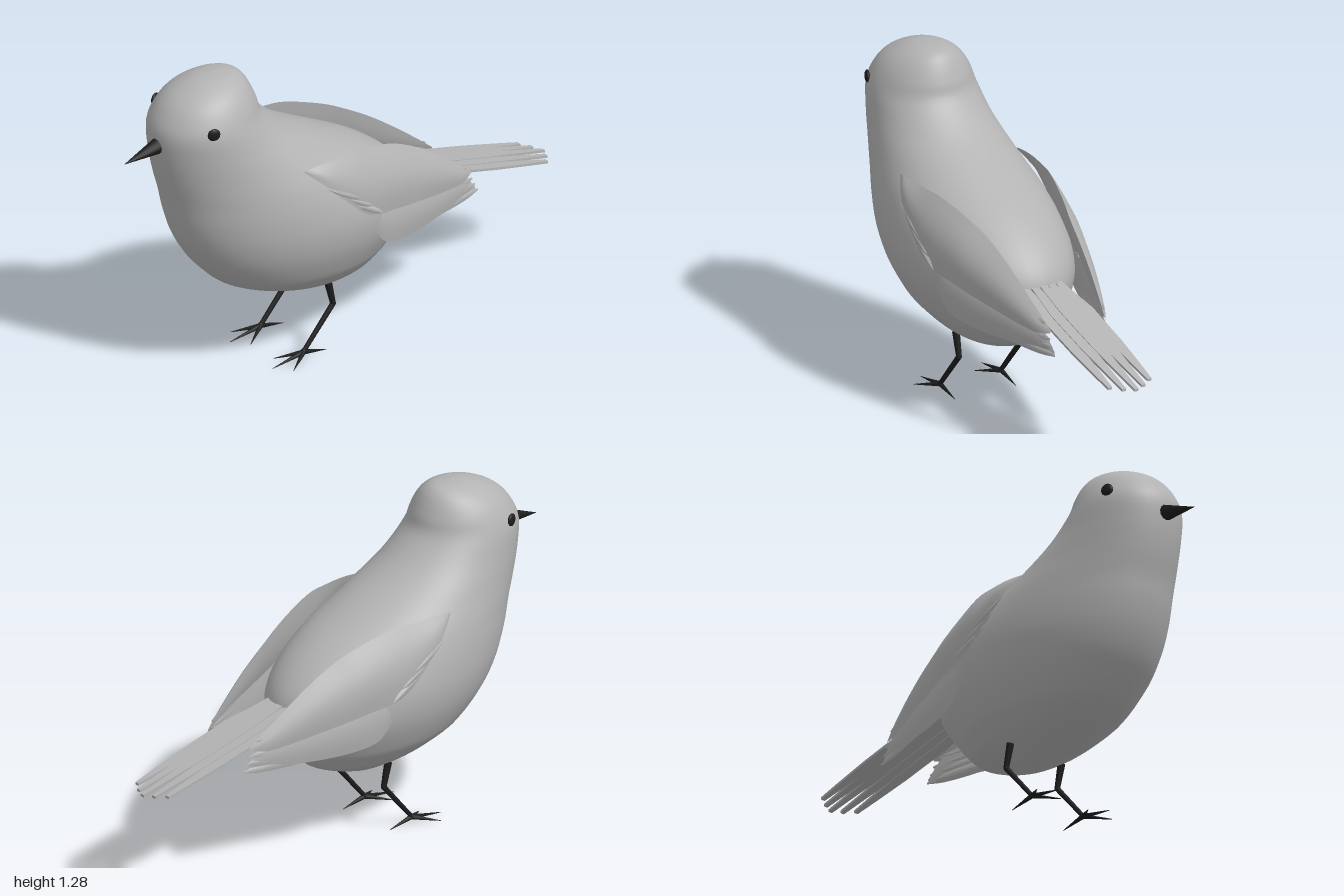
import * as THREE from 'three';
import { toCreasedNormals } from 'three/addons/utils/BufferGeometryUtils.js';

const plumage = new THREE.MeshStandardMaterial({ color: 0xb3b3b3 });
plumage.name = 'grey plumage';
const dark = new THREE.MeshStandardMaterial({ color: 0x1c1c1c });
dark.name = 'dark horn';

// Skin a list of closed rings of [x, y, z] points
function loft(rings, flip = false) {
  const n = rings[0].length, index = [];
  for (let i = 0; i < rings.length - 1; i++) {
    for (let j = 0; j < n; j++) {
      const k = (j + 1) % n;
      const a = i * n + j, b = i * n + k, c = a + n, d = b + n;
      if (flip) index.push(a, b, c, b, d, c);
      else index.push(a, c, b, b, c, d);
    }
  }
  const geo = new THREE.BufferGeometry();
  geo.setAttribute('position', new THREE.Float32BufferAttribute(rings.flat(2), 3));
  geo.setIndex(index);
  geo.computeVertexNormals();
  return geo;
}

function add(parent, name, geo, material) {
  const mesh = new THREE.Mesh(geo, material);
  mesh.name = name;
  parent.add(mesh);
  return mesh;
}

// Smooth curve through rows, evenly spaced by row so parallel curves stay in step
const spline = (rows) =>
  new THREE.CatmullRomCurve3(rows.map((r) => new THREE.Vector3(...r)), false, 'catmullrom', 0.5);

// Body and head: level ellipses given as [y, front z, back z, half width]
function bodyGeometry() {
  const rows = [
    [0.222, 0.1, 0.1, 0.001], [0.25, 0.22, 0.0, 0.075], [0.3, 0.38, -0.137, 0.16],
    [0.35, 0.5, -0.195, 0.212], [0.4, 0.575, -0.235, 0.25], [0.5, 0.667, -0.3, 0.295],
    [0.6, 0.727, -0.305, 0.313], [0.7, 0.765, -0.24, 0.307], [0.8, 0.79, -0.11, 0.285],
    [0.9, 0.82, 0.08, 0.252], [1.0, 0.84, 0.265, 0.225], [1.1, 0.845, 0.383, 0.205],
    [1.17, 0.815, 0.412, 0.18], [1.22, 0.77, 0.434, 0.148], [1.255, 0.71, 0.457, 0.107],
    [1.277, 0.645, 0.492, 0.058], [1.285, 0.57, 0.57, 0.001],
  ];
  const front = spline(rows.map((r) => [r[1], r[0], r[3]]));
  const back = spline(rows.map((r) => [r[2], r[0], 0]));
  const rings = [], steps = 80, sides = 48;
  for (let i = 0; i <= steps; i++) {
    const f = front.getPoint(i / steps), b = back.getPoint(i / steps);
    const mid = (f.x + b.x) / 2, half = (f.x - b.x) / 2, w = Math.max(f.z, 0.0005);
    rings.push(Array.from({ length: sides }, (_, j) => {
      const t = (j / sides) * Math.PI * 2;
      return [w * Math.cos(t), f.y, mid + half * Math.sin(t)];
    }));
  }
  return loft(rings);
}

// Lens-section panel, front to back: [z, lower y, lower x, upper y, upper x, bulge]
function panel(rows, s, inner = 0.4, steps = 36) {
  const low = spline(rows.map((r) => [r[2], r[1], r[0]]));
  const high = spline(rows.map((r) => [r[4], r[3], r[5]]));
  const rings = [], n = 8;
  for (let i = 0; i <= steps; i++) {
    const a = low.getPoint(i / steps), b = high.getPoint(i / steps);
    const dx = b.x - a.x, dy = b.y - a.y, len = Math.hypot(dx, dy) || 1;
    const ring = [];
    for (let j = 0; j < 2 * n; j++) {
      const t = j <= n ? j / n : 2 - j / n;
      const h = Math.max(b.z, 0) * Math.sin(Math.PI * t) * (j <= n ? 1 : -inner);
      ring.push([s * (a.x + dx * t + (dy / len) * h), a.y + dy * t - (dx / len) * h, a.z]);
    }
    rings.push(ring);
  }
  return toCreasedNormals(loft(rings, s < 0), 0.9);
}

// Slim feather between two [x, y, z] points
function feather(p, q, width, s) {
  const rows = [[0, 0.05], [0.3, 0.8], [0.6, 1], [0.85, 0.75], [1, 0.15]].map(([t, k]) => {
    const [x, y, z] = p.map((v, i) => v + (q[i] - v) * t);
    const h = (width * k) / 2;
    return [z, y - h, x + h * 0.2, y + h, x - h * 0.2, 0.007 * k];
  });
  return panel(rows, s, 1, 12);
}

function wing(s) {
  const g = new THREE.Group();
  g.name = s > 0 ? 'leftWing' : 'rightWing';
  add(g, 'coverts', panel([
    [0.335, 0.876, 0.255, 0.882, 0.255, 0], [0.25, 0.8, 0.298, 0.887, 0.258, 0.012],
    [0.15, 0.7, 0.307, 0.886, 0.25, 0.022], [0.05, 0.62, 0.3, 0.88, 0.235, 0.03],
    [-0.1, 0.59, 0.272, 0.836, 0.202, 0.035], [-0.2, 0.57, 0.247, 0.79, 0.178, 0.033],
    [-0.3, 0.55, 0.217, 0.732, 0.163, 0.028], [-0.4, 0.53, 0.186, 0.662, 0.148, 0.02],
    [-0.5, 0.515, 0.152, 0.585, 0.13, 0.01], [-0.56, 0.525, 0.122, 0.535, 0.118, 0],
  ], s), plumage);
  add(g, 'flightFeathers', panel([
    [0.06, 0.6, 0.288, 0.63, 0.285, 0], [0.0, 0.51, 0.28, 0.66, 0.265, 0.012],
    [-0.06, 0.458, 0.27, 0.66, 0.25, 0.016], [-0.2, 0.437, 0.235, 0.62, 0.22, 0.016],
    [-0.4, 0.44, 0.18, 0.575, 0.165, 0.012], [-0.52, 0.445, 0.14, 0.53, 0.132, 0.007],
    [-0.585, 0.438, 0.118, 0.455, 0.116, 0],
  ], s), plumage);
  // Overlapping feather tips along the trailing edge
  for (let i = 0; i < 5; i++) {
    const from = [0.268 - i * 0.004, 0.6 - i * 0.03, -0.1];
    const to = [0.128 - i * 0.002, 0.56 - i * 0.029, -0.535 - i * 0.015];
    add(g, 'wingFeather', feather(from, to, 0.045, s), plumage);
  }
  // Short feathers under the shoulder
  for (let i = 0; i < 3; i++) {
    const y = 0.8 - i * 0.045, z = 0.26 - i * 0.05;
    add(g, 'shoulderFeather', feather([0.3, y, z], [0.306, y - 0.09, z - 0.16], 0.03, s), plumage);
  }
  return g;
}

// Five flat feathers, the middle one longest
function tail() {
  const g = new THREE.Group();
  g.name = 'tail';
  const slope = 0.243;
  for (let i = -2; i <= 2; i++) {
    const end = [1, 0.98, 0.95][Math.abs(i)];
    const half = [[0.27, 0.012], [0.34, 0.018], [0.48, 0.026], [0.7, 0.024], [0.85, 0.016], [end, 0.009]];
    const side = (k) => half.map(([d, w]) => new THREE.Vector2(i * (d < 0.4 ? 0.036 : 0.043) + k * w, d));
    const geo = new THREE.ExtrudeGeometry(
      new THREE.Shape([...side(1), ...side(-1).reverse()]), { depth: 0.01, bevelEnabled: false });
    geo.rotateX(-Math.PI / 2);
    const p = geo.attributes.position;
    for (let v = 0; v < p.count; v++) {
      p.setY(v, p.getY(v) + 0.665 + slope * p.getZ(v) - Math.abs(i) * 0.003);
    }
    geo.computeVertexNormals();
    add(g, 'tailFeather', geo, plumage);
  }
  return g;
}

// Tapered rod between two points
function rod(parent, name, from, to, r0, r1) {
  const a = new THREE.Vector3(...from), b = new THREE.Vector3(...to), d = b.clone().sub(a);
  const mesh = add(parent, name, new THREE.CylinderGeometry(r1, r0, d.length(), 10), dark);
  mesh.position.copy(a).add(b).multiplyScalar(0.5);
  mesh.quaternion.setFromUnitVectors(new THREE.Vector3(0, 1, 0), d.normalize());
}

function leg(s) {
  const g = new THREE.Group(), x = s * 0.133;
  g.name = s > 0 ? 'leftLeg' : 'rightLeg';
  const knee = [x, 0.19, 0.105], ankle = [x, 0.03, 0.245];
  rod(g, 'thigh', [x, 0.285, 0.128], knee, 0.015, 0.011);
  rod(g, 'shin', knee, ankle, 0.011, 0.009);
  for (const p of [knee, ankle]) add(g, 'joint', new THREE.SphereGeometry(0.011, 10, 8), dark).position.set(...p);
  for (const [dx, z] of [[0, 0.392], [0.062, 0.34], [-0.062, 0.34], [0, 0.137]]) {
    rod(g, 'toe', [x, 0.027, 0.245], [x + dx, 0.004, z], 0.01, 0.001);
  }
  return g;
}

export function createModel() {
  const bird = new THREE.Group();
  bird.name = 'bird';
  add(bird, 'body', bodyGeometry(), plumage);
  bird.add(tail());

  // Beak: cone sheared so its underside is level
  const beak = new THREE.ConeGeometry(0.036, 0.18, 12);
  beak.rotateX(Math.PI / 2).translate(0, 0, 0.09);
  const p = beak.attributes.position;
  for (let i = 0; i < p.count; i++) p.setY(i, p.getY(i) - 0.034 * (p.getZ(i) / 0.18));
  add(bird, 'beak', beak, dark).position.set(0, 1.054, 0.82);

  for (const s of [1, -1]) {
    bird.add(wing(s), leg(s));
    const eye = add(bird, s > 0 ? 'leftEye' : 'rightEye', new THREE.SphereGeometry(0.025, 20, 14), dark);
    eye.scale.set(0.4, 1, 1);
    eye.position.set(s * 0.182, 1.13, 0.71);
    eye.rotation.y = -s * 0.35;
  }
  return bird;
}
